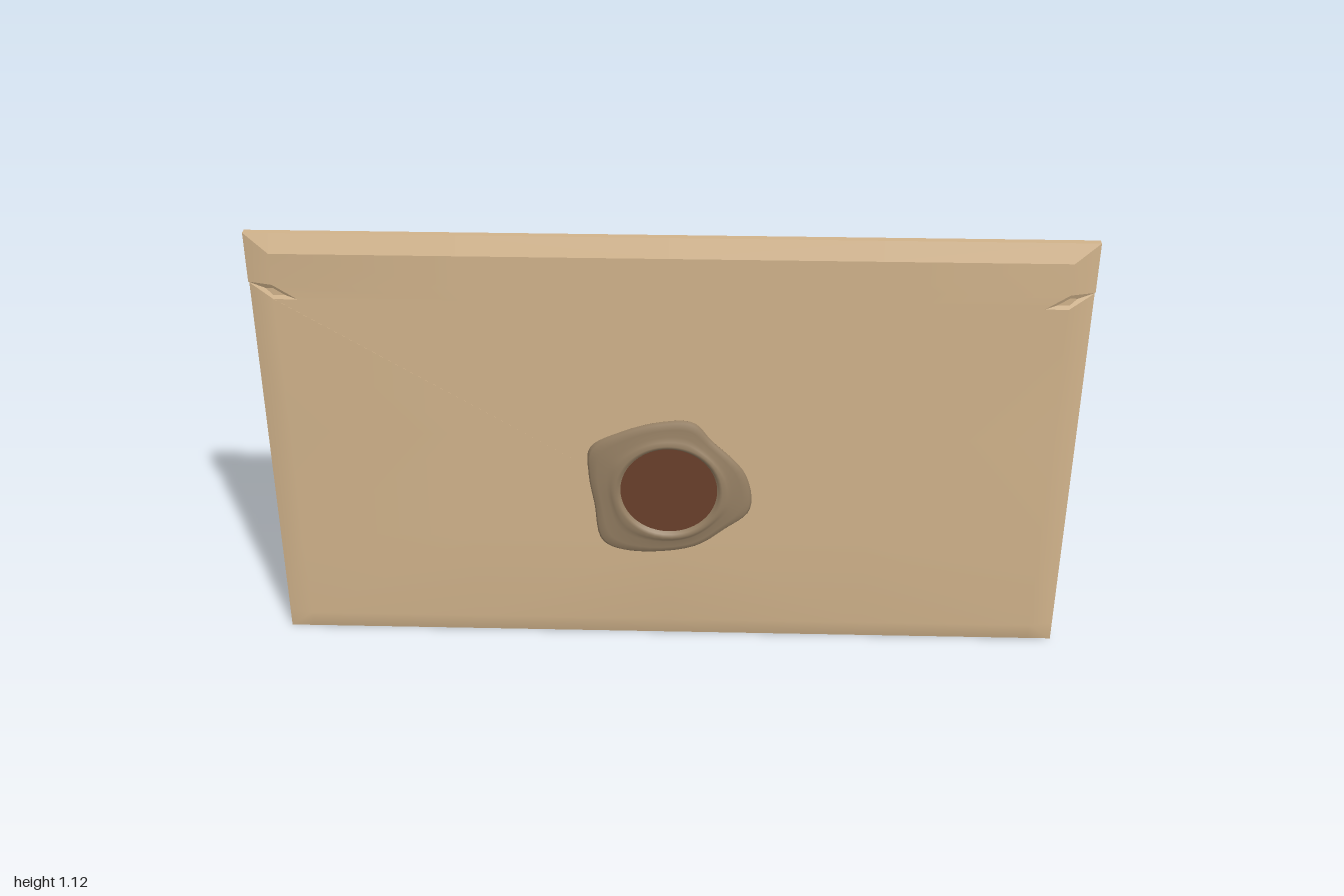
import * as THREE from 'three';
import { toCreasedNormals } from 'three/addons/utils/BufferGeometryUtils.js';

const paper = new THREE.MeshStandardMaterial({ name: 'paper', color: 0xd2b48c });
const paperEdge = new THREE.MeshStandardMaterial({ name: 'paperEdge', color: 0xd2b48c, side: THREE.DoubleSide });
const wax = new THREE.MeshStandardMaterial({ name: 'wax', color: 0x968064 });
const stamp = new THREE.MeshStandardMaterial({ name: 'stampedWax', color: 0x6b412c });

const TOP = 1.125, TIP = 0.39, SHOULDER = 1.0;
const lerp = THREE.MathUtils.lerp;

// How far a point lies down the bevelled border: 0 on the face, 1 at the rim
const bevel = (x, y) => Math.min(1, Math.max(0,
  (Math.abs(x) - 0.94) / 0.06, (y - 1.08) / 0.045, (0.05 - y) / 0.05));
const rimZ = (y) => 0.007 - 0.021 * y;
const frontZ = (x, y) => lerp(0.02 - 0.0125 * y, rimZ(y), bevel(x, y));
const flapZ = (x, y) => lerp(0.024 - 0.0125 * y, rimZ(y) + 0.009, bevel(x, y));
const backRimZ = (y) => (y >= SHOULDER ? -0.025 : rimZ(y));
function backZ(x, y) {
  const corner = THREE.MathUtils.clamp((Math.abs(x) - 0.5) / 0.44, 0, 1);
  const puff = y > 1.04 ? 0.009 * corner : 0;
  const face = -0.014 - 0.023 * Math.min(y, 1) - puff;
  return lerp(face, backRimZ(y), bevel(x, y));
}

function makeGeometry(positions, index) {
  const g = new THREE.BufferGeometry();
  g.setAttribute('position', new THREE.Float32BufferAttribute(positions, 3));
  g.setIndex(index);
  g.computeVertexNormals();
  return g;
}

// A grid of rows in y and columns in x, with its half width and depth set by rules
function sheet(cols, rows, width, depth, facingBack = false) {
  const pos = [], idx = [], n = cols.length;
  for (const y of rows) for (const u of cols) {
    const x = u * width(y);
    pos.push(x, y, depth(x, y));
  }
  for (let r = 0; r < rows.length - 1; r++) for (let c = 0; c < n - 1; c++) {
    const a = r * n + c, b = a + 1, d = a + n, e = d + 1;
    const mitre = (cols[c] + cols[c + 1]) * (rows[r] - 0.5) >= 0;
    const tris = mitre ? [a, b, e, a, e, d] : [a, b, d, b, e, d];
    idx.push(...(facingBack ? tris.reverse() : tris));
  }
  return makeGeometry(pos, idx);
}

// A ribbon closing the gap between two depths along a path of [x, y]
function wall(path, depthA, depthB) {
  const pos = [], idx = [];
  path.forEach(([x, y], i) => {
    pos.push(x, y, depthA(x, y), x, y, depthB(x, y));
    if (i) idx.push(2 * i - 2, 2 * i - 1, 2 * i, 2 * i - 1, 2 * i + 1, 2 * i);
  });
  return toCreasedNormals(makeGeometry(pos, idx), 0.5);
}

// Irregular wax blob: rings blended from its outline to the round stamped well
function sealGeometry() {
  const outline = [[0.06, 0.65], [0.105, 0.6], [0.19, 0.505], [0.203, 0.4], [0.14, 0.34],
    [0.06, 0.285], [-0.1, 0.27], [-0.168, 0.3], [-0.187, 0.41], [-0.2, 0.5],
    [-0.195, 0.575], [-0.12, 0.62], [-0.02, 0.65]].reverse();
  const curve = new THREE.CatmullRomCurve3(
    outline.map(([x, y]) => new THREE.Vector3(x, y - 0.457, 0)), true);
  const n = 72, pts = curve.getPoints(n).slice(0, n);
  // [blend towards outline, circle radius, z]
  const rings = [[0, 0.001, 0.022], [0.97, 0.128, 0.023], [1, 0.128, 0.027], [0.93, 0.128, 0.033],
    [0.7, 0.128, 0.037], [0.4, 0.128, 0.037], [0.2, 0.132, 0.043], [0, 0.134, 0.046],
    [0, 0.126, 0.044], [0, 0.12, 0.034], [0, 0.11, 0.033]];
  const pos = [], idx = [];
  rings.forEach(([k, radius, z], r) => pts.forEach((p, j) => {
    const a = Math.atan2(p.y, p.x);
    pos.push(lerp(radius * Math.cos(a), p.x, k), lerp(radius * Math.sin(a), p.y, k), z);
    if (r) {
      const o = (r - 1) * n, q = (j + 1) % n;
      idx.push(o + j, o + q, o + n + j, o + q, o + n + q, o + n + j);
    }
  }));
  return makeGeometry(pos, idx);
}

export function createModel() {
  const group = new THREE.Group();
  group.name = 'sealedEnvelope';
  const add = (name, geometry, material) => {
    const mesh = new THREE.Mesh(geometry, material);
    mesh.name = name;
    group.add(mesh);
    return mesh;
  };

  // Envelope body: padded front and back sheets meeting at a thin rim
  const cols = [-1, -0.94, -0.5, 0, 0.5, 0.94, 1];
  const rows = [0, 0.05, 0.3, 0.6, 0.85, 0.963, 1.0, 1.08, TOP];
  const full = () => 1;
  add('envelopeFront', sheet(cols, rows, full, frontZ), paper);
  add('envelopeBack', sheet(cols, rows, full, backZ, true), paper);

  // Folded flap: a wide triangle with a bevelled top border
  const flapWidth = (y) => Math.min(1, Math.max(0.001, (y - TIP) / (SHOULDER - TIP)));
  const flapRows = [TIP, 0.55, 0.75, 0.963, SHOULDER, 1.08, TOP];
  add('flap', toCreasedNormals(sheet(cols, flapRows, flapWidth, flapZ), 0.3), paper);

  // Flap edges: the top fold wraps to the back, the lower edges rest on the front
  add('topFold', wall([[-1, SHOULDER], [-1, 1.08], [-1, TOP], [1, TOP], [1, 1.08], [1, SHOULDER]],
    flapZ, (x, y) => backRimZ(y)), paperEdge);
  add('flapEdge', wall([[-1, SHOULDER], [-0.94, 0.963], [0, TIP], [0.94, 0.963], [1, SHOULDER]],
    flapZ, frontZ), paperEdge);

  // Wax seal with a dark stamped disc in its well
  add('waxSeal', sealGeometry(), wax).position.y = 0.457;
  add('sealDisc', new THREE.CircleGeometry(0.121, 48), stamp).position.set(0, 0.457, 0.0355);

  return group;
}
